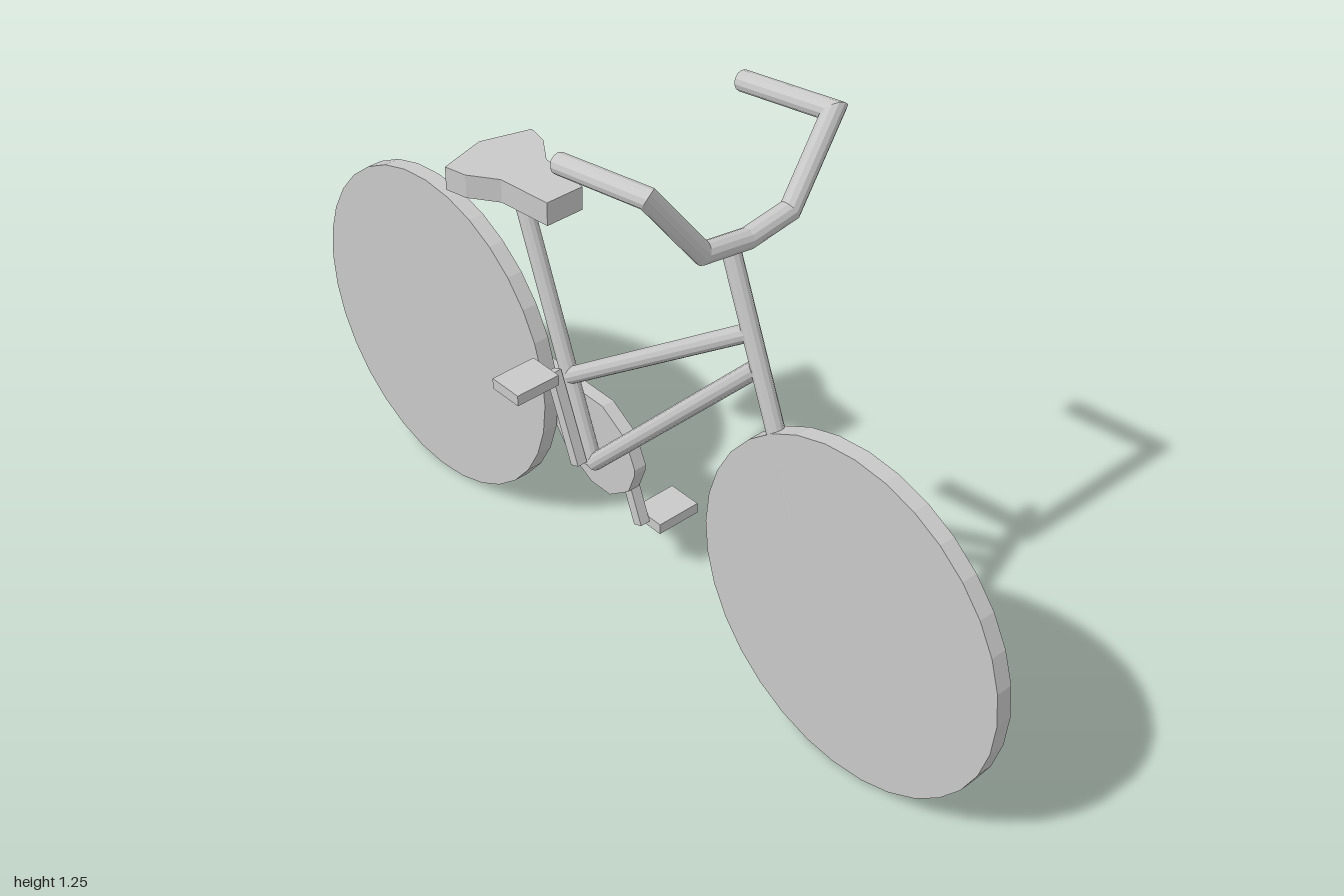
import * as THREE from 'three';

const grey = new THREE.MeshStandardMaterial({ color: 0xc8c8c8 });
grey.name = 'plain grey';
grey.flatShading = true;

const V = (x, y, z) => new THREE.Vector3(x, y, z);

// Straight or bent tube with mitred corners, through the given points
function tube(points, radius, sides = 12) {
  const n = points.length - 1;
  const dirs = points.slice(1).map((p, i) => p.clone().sub(points[i]).normalize());
  const turn = new THREE.Quaternion().setFromUnitVectors(V(0, 1, 0), dirs[0].clone().negate());
  const geo = new THREE.CylinderGeometry(radius, radius, 1, sides, n);
  const pos = geo.attributes.position;
  for (let i = 0; i < pos.count; i++) {
    const row = Math.round((0.5 - pos.getY(i)) * n);
    const p = V(pos.getX(i), 0, pos.getZ(i)).applyQuaternion(turn).add(points[0]);
    for (let k = 1; k <= row; k++) {
      const d = dirs[k - 1];
      const normal = d.clone().add(dirs[k] ?? d).normalize();
      p.addScaledVector(d, points[k].clone().sub(p).dot(normal) / d.dot(normal));
    }
    pos.setXYZ(i, p.x, p.y, p.z);
  }
  geo.computeVertexNormals();
  return geo;
}

const plate = (points, depth) => new THREE.ExtrudeGeometry(
  new THREE.Shape(points.map(([x, y]) => new THREE.Vector2(x, y))), { depth, bevelEnabled: false });

export function createModel() {
  const bike = new THREE.Group();
  bike.name = 'bicycle';
  const add = (name, geo, x = 0, y = 0, z = 0) => {
    const mesh = new THREE.Mesh(geo, grey);
    mesh.name = name;
    mesh.position.set(x, y, z);
    bike.add(mesh);
    return mesh;
  };

  // Solid disc wheels
  for (const [name, z] of [['frontWheel', 0.623], ['rearWheel', -0.623]]) {
    add(name, new THREE.CylinderGeometry(0.377, 0.377, 0.036, 32).rotateZ(Math.PI / 2), 0, 0.377, z);
  }

  // Frame tubes, each from [y, z] to [y, z]
  const frame = {
    steeringTube: [[1.025, 0.273], [0.53, 0.468]],
    topTube: [[0.87, 0.335], [0.485, -0.18]],
    downTube: [[0.80, 0.355], [0.30, -0.11]],
    seatTube: [[0.86, -0.328], [0.30, -0.115]],
  };
  for (const [name, ends] of Object.entries(frame)) {
    add(name, tube(ends.map(([y, z]) => V(0, y, z)), 0.0185));
  }

  // Swept handlebar with grips pointing back
  const half = [V(0.222, 1.193, 0.065), V(0.222, 1.23, 0.298), V(0.107, 1.077, 0.314)];
  const mirrored = half.map((p) => V(-p.x, p.y, p.z)).reverse();
  add('handlebar', tube([...half, V(0, 1.063, 0.316), ...mirrored], 0.021));

  // Saddle, broad at the back
  const side = [[0.045, 0.19], [0.058, 0.315], [0.1, 0.375], [0.111, 0.425]];
  const saddle = [...side, [0, 0.457], ...side.map(([x, y]) => [-x, y]).reverse()];
  add('saddle', plate(saddle, 0.053).rotateX(-Math.PI / 2), 0, 0.862, 0);

  // Chain guard
  const guard = [[0.01, 0.325], [0.01, 0.312], [0.03, 0.257], [0.088, 0.214], [0.147, 0.214],
    [0.227, 0.257], [0.297, 0.348], [0.553, 0.353], [0.553, 0.444], [0.26, 0.435],
    [0.11, 0.433], [0.04, 0.39]];
  add('chainGuard', plate(guard, 0.03).rotateY(Math.PI / 2), 0.023, 0, 0);

  // Cranks and pedals, half a turn apart
  const cranks = [['left', 0.072, 0.236, -0.081, 0.139, -0.04, 0.139],
    ['right', -0.033, 0.405, -0.159, 0.503, -0.205, -0.099]];
  for (const [name, x, y, z, pedalY, pedalZ, pedalX] of cranks) {
    add(name + 'Crank', new THREE.BoxGeometry(0.024, 0.21, 0.024), x, y, z).rotation.x = -0.38;
    add(name + 'Pedal', new THREE.BoxGeometry(0.107, 0.025, 0.08), pedalX, pedalY, pedalZ);
  }
  return bike;
}
